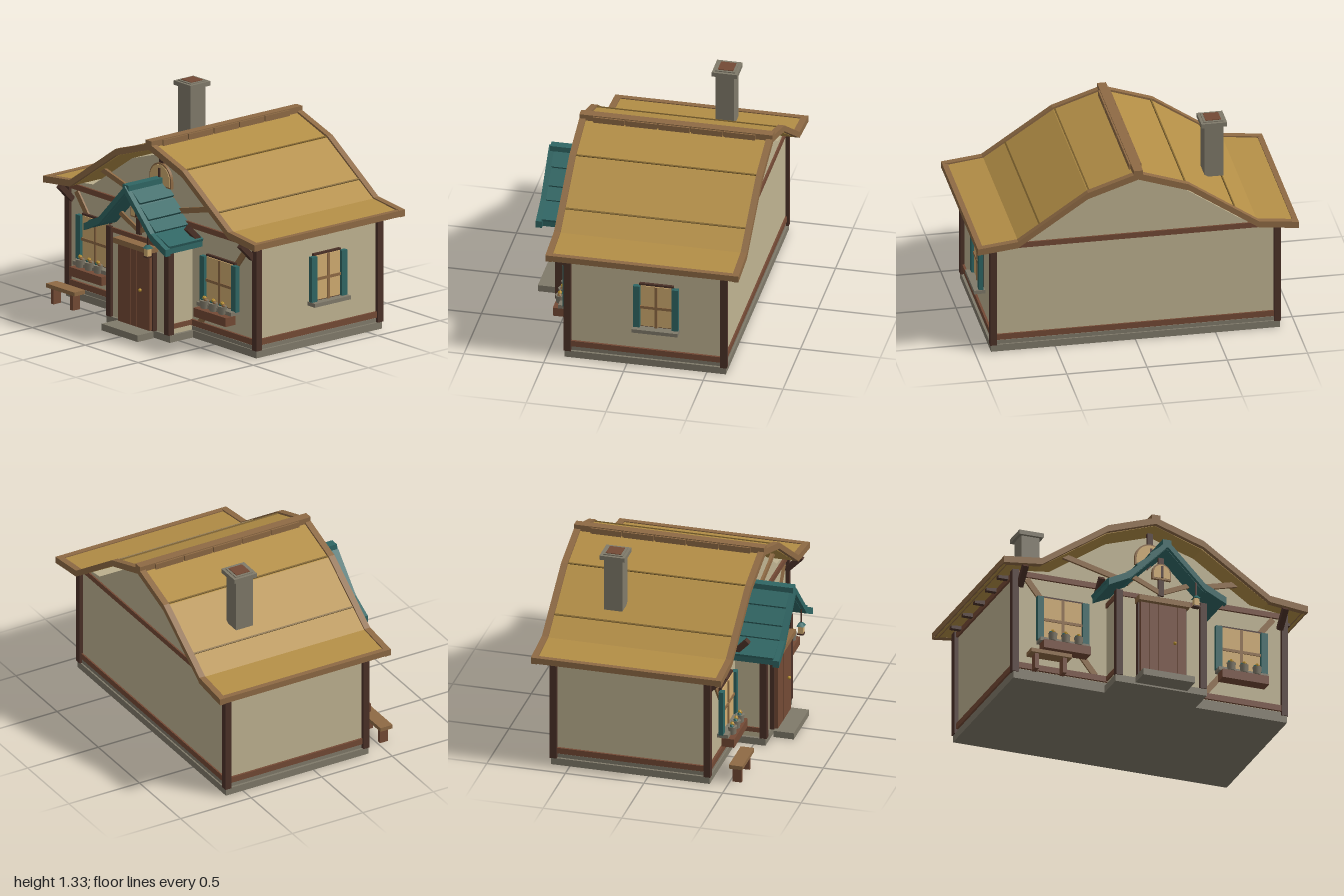
import * as THREE from 'three';

const mat = (name, color, side = THREE.FrontSide) => {
  const m = new THREE.MeshStandardMaterial({ color, side });
  m.name = name;
  return m;
};

export function createModel() {
  const thatch = mat('thatch', 0xb38e46);
  const seam = mat('dark thatch', 0x80642f);
  const plaster = mat('plaster', 0xbfb391);
  const oak = mat('light timber', 0x8e6a44);
  const redwood = mat('red timber', 0x744a35);
  const dark = mat('dark timber', 0x4c3228);
  const teal = mat('teal paint', 0x2f6664);
  const stone = mat('stone', 0x807a6a);
  const glass = mat('warm glass', 0xd0ac70);
  const brass = mat('brass', 0xb8902f);

  const model = new THREE.Group();
  model.name = 'cottage';

  const add = (name, geo, m, parent = model) => {
    const mesh = new THREE.Mesh(geo, m);
    mesh.name = name;
    parent.add(mesh);
    return mesh;
  };
  // Box given by its limits on each axis
  const box = (name, m, x0, x1, y0, y1, z0, z1, parent = model) => {
    const b = add(name, new THREE.BoxGeometry(x1 - x0, y1 - y0, z1 - z0), m, parent);
    b.position.set((x0 + x1) / 2, (y0 + y1) / 2, (z0 + z1) / 2);
    return b;
  };
  const extrude = (name, m, shape, z0, z1, parent = model) => {
    const g = new THREE.ExtrudeGeometry(shape, { depth: z1 - z0, bevelEnabled: false, curveSegments: 10 });
    g.translate(0, 0, z0);
    return add(name, g, m, parent);
  };
  const polygon = (pts) => new THREE.Shape(pts.map(([x, y]) => new THREE.Vector2(x, y)));
  // Mirror a half profile (running from the ridge outward) to the other side
  const mirrored = (half) => [...half.slice(1).reverse().map(([x, y]) => [-x, y]), ...half];
  // Roof-like band following a mirrored profile
  const band = (name, m, half, t, z0, z1) => {
    const top = mirrored(half);
    return extrude(name, m, polygon([...top.map(([x, y]) => [x, y - t]), ...top.slice().reverse()]), z0, z1);
  };
  // Straight timber lying in a facade plane
  const timber = (name, m, x0, y0, x1, y1, w, z0, z1) => {
    const b = add(name, new THREE.BoxGeometry(Math.hypot(x1 - x0, y1 - y0), w, z1 - z0), m);
    b.position.set((x0 + x1) / 2, (y0 + y1) / 2, (z0 + z1) / 2);
    b.rotation.z = Math.atan2(y1 - y0, x1 - x0);
    return b;
  };

  // Stone base, porch base and door step
  box('base', stone, -0.9, 0.9, 0.005, 0.05, -0.62, 0.39);
  box('porchBase', stone, -0.3, 0.3, 0.005, 0.05, 0.39, 0.575);
  box('baseCourse', stone, -0.885, 0.885, 0.05, 0.075, -0.61, 0.382);
  box('doorStep', stone, -0.175, 0.165, 0.008, 0.05, 0.59, 0.72);

  // Main body with gables, and the entrance bay
  extrude('walls', plaster, polygon([[-0.88, 0.05], [0.88, 0.05],
    ...mirrored([[0, 1.11], [0.29, 1.015], [0.66, 0.765], [0.88, 0.738]]).reverse()]), -0.605, 0.375);
  extrude('entranceBay', plaster, polygon([[-0.28, 0.05], [0.28, 0.05], [0.28, 0.63],
    [0.22, 0.66], [0, 0.88], [-0.22, 0.66], [-0.28, 0.63]]), 0.37, 0.56);

  // Horizontal beams
  for (const [n, y0, y1] of [['sill', 0.08, 0.118], ['top', 0.7, 0.735]]) {
    box(n + 'BeamBack', redwood, -0.87, 0.87, y0, y1, -0.615, -0.6);
    box(n + 'BeamFront', redwood, -0.87, 0.87, y0, y1, 0.365, 0.39);
    for (const s of [-1, 1]) box(n + 'BeamSide', redwood, s * 0.882 - 0.012, s * 0.882 + 0.012, y0, y1, -0.59, 0.36);
  }
  box('bayBeam', redwood, -0.27, 0.27, 0.59, 0.62, 0.55, 0.572);

  for (const s of [-1, 1]) {
    // Corner posts, bay posts and bay side beams
    for (const z of [-0.605, 0.373]) box('cornerPost', dark, s * 0.885 - 0.021, s * 0.885 + 0.021, 0.05, 0.74, z - 0.022, z + 0.022);
    box('bayPost', dark, s * 0.276 - 0.021, s * 0.276 + 0.021, 0.05, 0.625, 0.538, 0.582);
    for (const y of [0.595, 0.1]) box('baySideBeam', redwood, s * 0.28 - 0.01, s * 0.28 + 0.01, y - 0.015, y + 0.015, 0.38, 0.54);
    // Facade braces
    timber('wallBrace', oak, s * 0.81, 0.69, s * 0.36, 0.115, 0.038, 0.37, 0.387);
    timber('gableBrace', oak, s * 0.57, 0.885, 0, 0.74, 0.034, 0.37, 0.39);
    timber('bayBrace', oak, s * 0.18, 0.73, 0, 0.65, 0.03, 0.555, 0.572);
    // Brackets below the front overhang
    for (const x of [0.855, 0.352]) {
      const b = box('eaveBracket', dark, s * x - 0.018, s * x + 0.018, 0.665, 0.7, 0.36, 0.5);
      b.rotation.x = -0.8;
    }
    // Rafter tails
    for (let i = 0; i < 5; i++) {
      const z = 0.275 - i * 0.196;
      box('rafterTail', dark, s * 0.92 - 0.04, s * 0.92 + 0.04, 0.712, 0.74, z - 0.015, z + 0.015);
    }
  }
  box('kingPost', dark, -0.018, 0.018, 0.72, 1.13, 0.37, 0.392);
  box('bayKingPost', dark, -0.018, 0.018, 0.63, 0.885, 0.555, 0.575);

  // Main roof: thatch, verge boards, eave boards, seams and ridge
  const roof = [[0, 1.183], [0.31, 1.078], [0.745, 0.788], [0.99, 0.758]];
  const verge = [[0, 1.195], [0.315, 1.09], [0.75, 0.795], [1, 0.767]];
  band('thatchRoof', thatch, roof, 0.032, -0.69, 0.46);
  band('frontVerge', oak, verge, 0.042, 0.45, 0.49);
  band('backVerge', oak, verge, 0.042, -0.72, -0.68);
  for (const s of [-1, 1]) {
    box('eaveBoard', oak, s * 0.983 - 0.017, s * 0.983 + 0.017, 0.728, 0.767, -0.7, 0.47);
    for (const [x, y, a] of [[0.3, 1.083, 0.34], [0.608, 0.881, 0.588]]) {
      const strip = box('thatchSeam', seam, s * x - 0.005, s * x + 0.005, y - 0.005, y + 0.005, -0.68, 0.45);
      strip.rotation.z = -s * a;
    }
  }
  box('ridgeBeam', oak, -0.028, 0.028, 1.165, 1.213, -0.72, 0.49);
  for (let i = 0; i < 5; i++) {
    const z = 0.305 - i * 0.205;
    box('ridgeCap', oak, -0.038, 0.038, 1.165, 1.207, z - 0.098, z + 0.098);
  }

  // Entrance canopy with lapped courses
  const canopy = [[0, 0.945], [0.24, 0.7], [0.375, 0.635]];
  band('canopyRoof', teal, canopy, 0.035, 0.36, 0.66);
  band('canopyVerge', teal, [[0, 0.958], [0.245, 0.708], [0.387, 0.637]], 0.045, 0.645, 0.685);
  box('canopyRidge', teal, -0.028, 0.028, 0.91, 0.965, 0.36, 0.675);
  for (const s of [-1, 1]) {
    for (const [x0, y0, x1, y1] of [[0.02, 0.925, 0.1, 0.86], [0.1, 0.843, 0.185, 0.775],
      [0.18, 0.761, 0.25, 0.71], [0.245, 0.698, 0.38, 0.643]]) {
      timber('canopyCourse', teal, s * x0, y0, s * x1, y1, 0.018, 0.36, 0.65);
    }
  }

  // Arched gable windows
  const arch = (r, y0, h) => {
    const s = new THREE.Shape();
    s.moveTo(-r, y0);
    s.lineTo(r, y0);
    s.lineTo(r, y0 + h);
    s.absarc(0, y0 + h, r, 0, Math.PI, false);
    s.closePath();
    return s;
  };
  for (const [r, y, h, z] of [[0.103, 0.905, 0.045, 0.38], [0.062, 0.735, 0.045, 0.565]]) {
    extrude('archFrame', oak, arch(r, y, h), z, z + 0.018);
    extrude('archGlass', glass, arch(r - 0.01, y + 0.01, h - 0.01), z + 0.015, z + 0.022);
    box('archMullion', dark, -0.007, 0.007, y + 0.01, y + h + r * 0.7, z + 0.015, z + 0.028);
  }

  // Shuttered window, built facing +z around its own centre
  const makeWindow = (w, sillW) => {
    const g = new THREE.Group();
    g.name = 'window';
    const h = 0.15, i = w - 0.04;
    box('windowFrame', dark, -i - 0.005, i + 0.005, -h, h + 0.005, 0, 0.018, g);
    box('pane', glass, -i + 0.006, i - 0.006, -h + 0.01, h - 0.008, 0.015, 0.024, g);
    box('mullion', oak, -0.009, 0.009, -h, h - 0.008, 0.015, 0.03, g);
    box('transom', oak, -i, i, -0.016, 0.002, 0.015, 0.03, g);
    for (const s of [-1, 1]) box('shutter', teal, s * (w - 0.021) - 0.021, s * (w - 0.021) + 0.021, -h, h - 0.008, 0.01, 0.04, g);
    box('windowSill', stone, -sillW, sillW, -h - 0.02, -h + 0.004, 0, 0.07, g);
    model.add(g);
    return g;
  };
  const side = makeWindow(0.142, 0.145);
  side.position.set(0.88, 0.428, -0.183);
  side.rotation.y = Math.PI / 2;

  // Front windows with planters and flower pots
  for (const s of [-1, 1]) {
    const g = makeWindow(0.17, 0.163);
    g.position.set(s * 0.587, 0.422, 0.395);
    box('planter', redwood, -0.153, 0.153, -0.232, -0.176, 0.025, 0.105, g);
    for (const x of [-0.085, 0, 0.085]) {
      const pot = add('flowerPot', new THREE.CylinderGeometry(0.03, 0.024, 0.05, 8), stone, g);
      pot.position.set(x, -0.143, 0.075);
      for (const [dx, dy, m] of [[-0.012, 0, teal], [0.012, 0, oak], [0, 0.012, brass]]) {
        const f = add('flower', new THREE.IcosahedronGeometry(0.014, 0), m, g);
        f.position.set(x + dx, -0.114 + dy, 0.075);
      }
    }
  }

  // Plank door with head beam and knob
  box('doorFrame', dark, -0.16, 0.16, 0.05, 0.555, 0.555, 0.59);
  for (let i = 0; i < 5; i++) {
    const x = -0.12 + i * 0.06;
    box('doorPlank', redwood, x - 0.029, x + 0.029, 0.055, 0.55, 0.58, 0.612);
  }
  box('doorHead', oak, -0.168, 0.168, 0.553, 0.587, 0.56, 0.636);
  const knob = add('doorKnob', new THREE.SphereGeometry(0.011, 10, 8), brass);
  knob.position.set(0.072, 0.3, 0.622);

  // Hanging lantern
  const lx = 0.195, lz = 0.662;
  box('lanternRod', dark, lx - 0.004, lx + 0.004, 0.61, 0.72, lz - 0.004, lz + 0.004);
  box('lanternGlass', glass, lx - 0.016, lx + 0.016, 0.552, 0.605, lz - 0.016, lz + 0.016);
  box('lanternBase', dark, lx - 0.02, lx + 0.02, 0.545, 0.554, lz - 0.02, lz + 0.02);
  const cap = add('lanternCap', new THREE.CylinderGeometry(0.01, 0.034, 0.022, 4), teal);
  cap.rotation.y = Math.PI / 4;
  cap.position.set(lx, 0.614, lz);

  // Bench
  box('benchSeat', oak, -0.858, -0.59, 0.105, 0.13, 0.5, 0.586);
  for (const x of [-0.815, -0.633]) box('benchLeg', redwood, x - 0.013, x + 0.013, 0.005, 0.106, 0.515, 0.572);

  // Chimney
  box('chimneyShaft', stone, -0.595, -0.477, 0.95, 1.3, -0.37, -0.252);
  box('chimneyCap', stone, -0.615, -0.455, 1.296, 1.324, -0.393, -0.233);
  box('chimneyRim', stone, -0.597, -0.473, 1.32, 1.33, -0.375, -0.25);
  box('chimneyFlue', redwood, -0.583, -0.487, 1.325, 1.334, -0.361, -0.265);

  return model;
}
